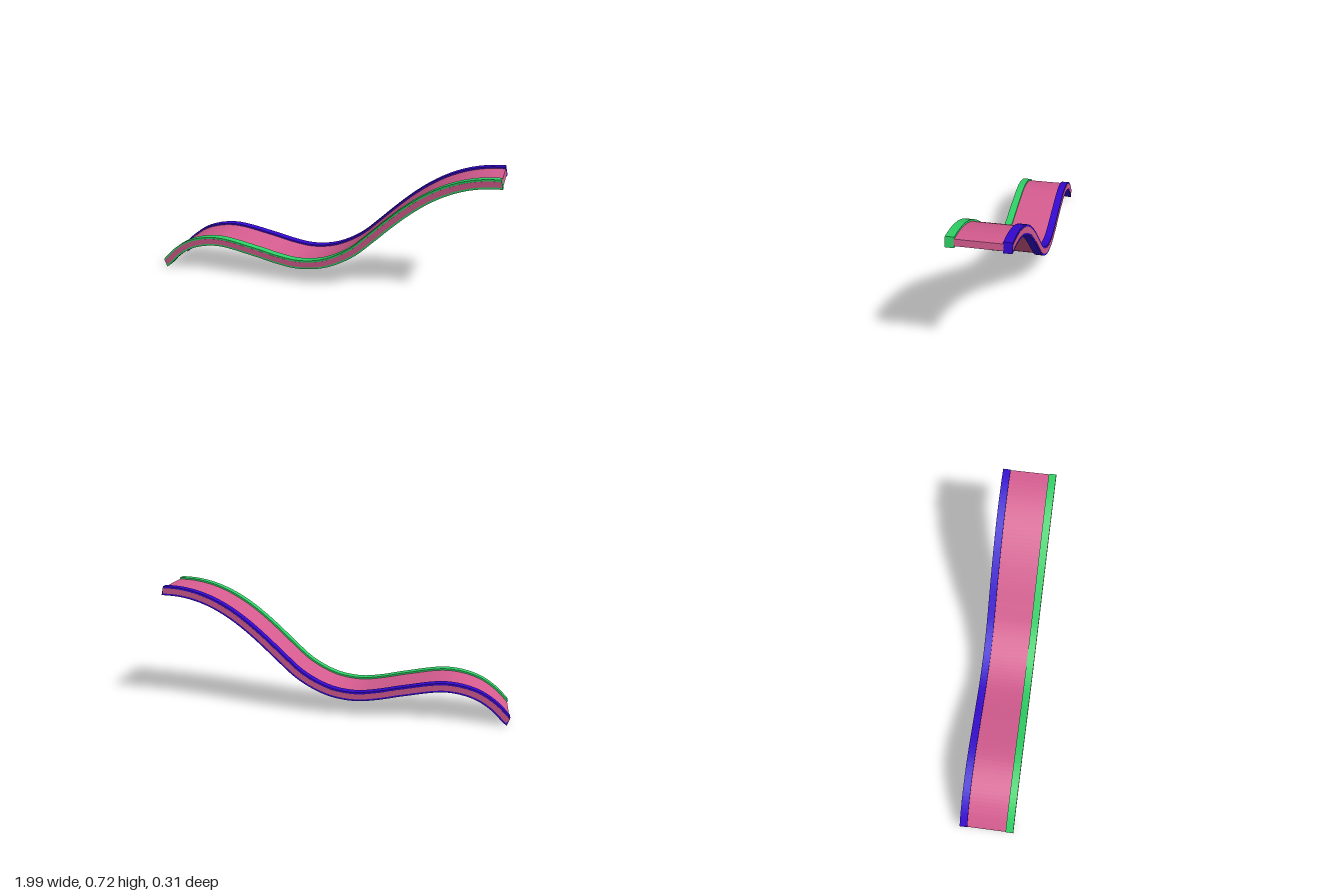
import * as THREE from 'three';

const STEPS = 96;
const PINK = 0xd65c90, GREEN = 0x2fd266, BLUE = 0x3508d2;

// Wavy centre line, from the low end to the high end
const path = new THREE.CatmullRomCurve3([
  [-0.99, 0.025], [-0.9, 0.113], [-0.8, 0.172], [-0.64, 0.203], [-0.4, 0.166], [-0.25, 0.134],
  [-0.13, 0.12], [0, 0.136], [0.1, 0.174], [0.2, 0.235], [0.3, 0.325], [0.4, 0.42],
  [0.5, 0.507], [0.6, 0.58], [0.7, 0.635], [0.8, 0.672], [0.9, 0.692], [0.99, 0.697],
].map(([x, y]) => new THREE.Vector3(x, y, 0)), false, 'centripetal');

// Outline offset from the centre line by half the thickness on both sides
function ribbonShape(half, from = 0, to = 1) {
  const top = [], bottom = [];
  for (let i = 0; i <= STEPS; i++) {
    const u = from + (to - from) * i / STEPS;
    const p = path.getPointAt(u), t = path.getTangentAt(u);
    let n = new THREE.Vector2(-t.y, t.x);
    // The end cuts are a little slanted
    if (u === 0) n = new THREE.Vector2(-0.33, 0.94);
    if (u === 1) n = new THREE.Vector2(-0.22, 0.975);
    top.push(new THREE.Vector2(p.x + n.x * half, p.y + n.y * half));
    bottom.push(new THREE.Vector2(p.x - n.x * half, p.y - n.y * half));
  }
  return new THREE.Shape([...bottom, ...top.reverse()]);
}

// Ribbon of a given thickness spanning z0 to z1
function ribbon(name, color, half, z0, z1, from, to) {
  const geometry = new THREE.ExtrudeGeometry(ribbonShape(half, from, to), {
    depth: z1 - z0, bevelEnabled: false, steps: 1,
  });
  geometry.translate(0, 0, z0);
  const mesh = new THREE.Mesh(geometry, new THREE.MeshStandardMaterial({ color }));
  mesh.name = name;
  return mesh;
}

export function createModel() {
  const group = new THREE.Group();
  group.name = 'wavyTrack';

  // Deck between the rails
  group.add(ribbon('deck', PINK, 0.0165, -0.114, 0.114));

  // Thicker rails along both edges
  group.add(ribbon('frontRail', GREEN, 0.026, 0.112, 0.156));
  group.add(ribbon('backRail', BLUE, 0.026, -0.156, -0.112));

  // Thin stripes on the outer faces of the rails
  group.add(ribbon('frontStripe', PINK, 0.0155, 0.15, 0.157, 0.002, 0.998));
  group.add(ribbon('backStripe', PINK, 0.0155, -0.157, -0.15, 0.002, 0.998));

  return group;
}
